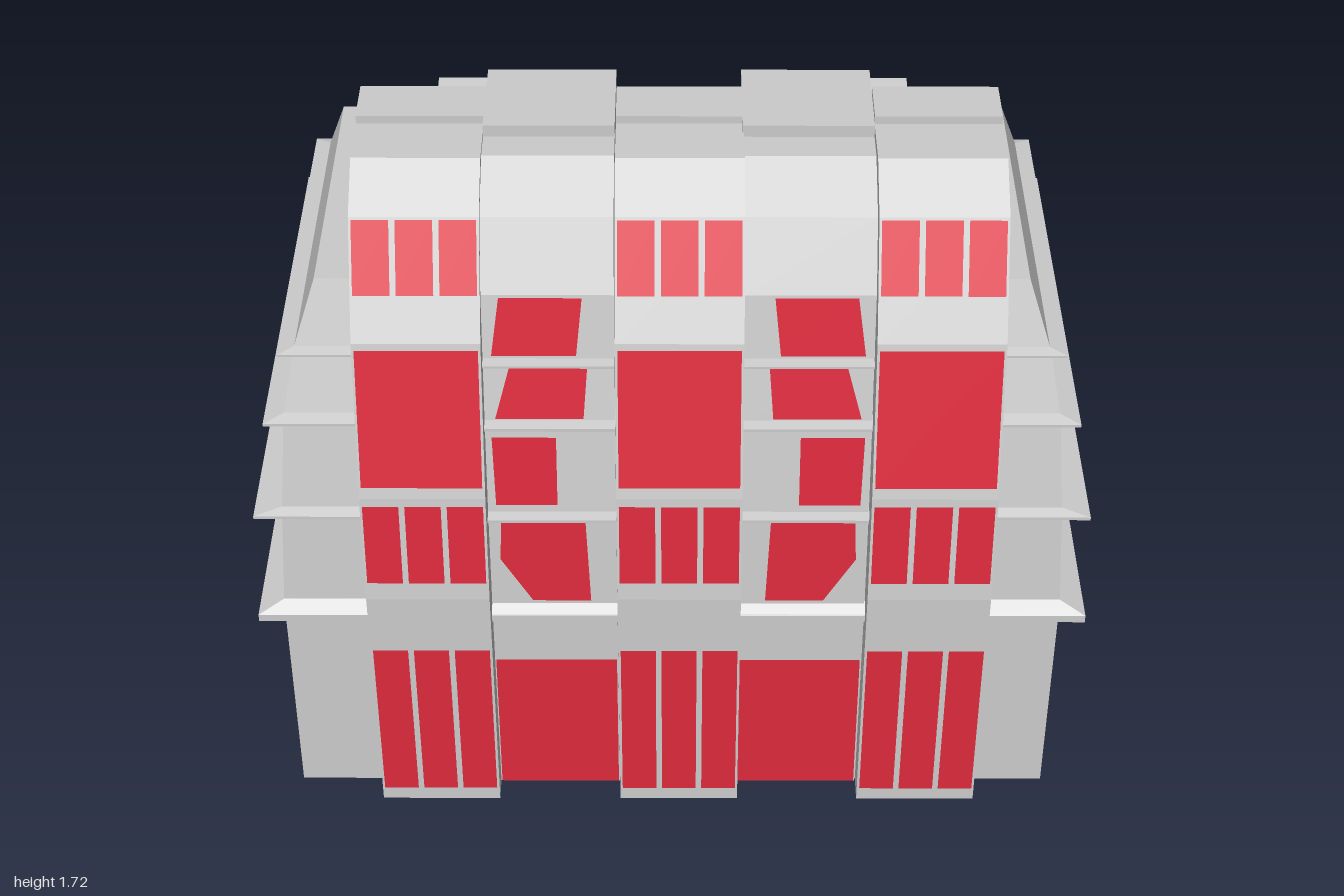
import * as THREE from 'three';

const grey = new THREE.MeshStandardMaterial({ color: 0xcccccc, flatShading: true, side: THREE.DoubleSide });
const red = new THREE.MeshStandardMaterial({ color: 0xdc2a3c, flatShading: true, side: THREE.DoubleSide });

// Shell levels: [y, half width, front z, back z]
const LEVELS = [
  [0, 0.94, 0.53, -0.555], [0.6, 0.94, 0.53, -0.555], [0.875, 0.925, 0.51, -0.545],
  [1.125, 0.905, 0.47, -0.51], [1.285, 0.875, 0.42, -0.452], [1.45, 0.82, 0.365, -0.37],
];
const BODY_FRONT = LEVELS.map(([y, , f]) => [f, y]);
// Side profiles as [z, y]
const PILASTER_FRONT = [[0.6, 0], [0.605, 0.68], [0.578, 0.97], [0.495, 1.36], [0.365, 1.62], [0.245, 1.7]];
const BAY_FRONT = [[0.538, 0], [0.538, 0.6], [0.522, 0.875], [0.49, 1.125], [0.46, 1.285], [0.43, 1.45], [0.35, 1.61], [0.22, 1.69]];

// z of a profile at height y
function zAt(profile, y) {
  for (let i = 1; i < profile.length; i++) {
    const [z0, y0] = profile[i - 1], [z1, y1] = profile[i];
    if (y <= y1) return z0 + (z1 - z0) * (y - y0) / (y1 - y0);
  }
  return profile[profile.length - 1][0];
}

// Surface through rows of [x, y, z] points
function loft(rows) {
  const n = rows[0].length, index = [];
  for (let r = 0; r < rows.length - 1; r++) {
    for (let i = 0; i < n - 1; i++) {
      const a = r * n + i, b = a + 1, c = a + n, d = c + 1;
      index.push(a, b, d, a, d, c);
    }
  }
  const geo = new THREE.BufferGeometry();
  geo.setAttribute('position', new THREE.Float32BufferAttribute(rows.flat(2), 3));
  geo.setIndex(index);
  const flat = geo.toNonIndexed();
  flat.computeVertexNormals();
  return flat;
}

const shapeOf = (pts) => new THREE.Shape(pts.map(([a, b]) => new THREE.Vector2(a, b)));

// Horizontal sheet from [x, z] points, y given by a rule
function sheet(pts, yOf) {
  const geo = new THREE.ShapeGeometry(shapeOf(pts.map(([x, z]) => [x, -z])));
  geo.rotateX(-Math.PI / 2);
  const p = geo.attributes.position;
  for (let i = 0; i < p.count; i++) p.setY(i, yOf(p.getZ(i)));
  geo.computeVertexNormals();
  return geo;
}

// Side profile extruded from x0 to x1
function slab(pts, x0, x1) {
  const geo = new THREE.ExtrudeGeometry(shapeOf(pts), { depth: x1 - x0, bevelEnabled: false });
  geo.rotateY(-Math.PI / 2);
  geo.translate(x1, 0, 0);
  return geo;
}

// Flat pane of [x, y] points laid on a profile
function pane(pts, profile, offset) {
  const geo = new THREE.ShapeGeometry(shapeOf(pts));
  const p = geo.attributes.position;
  for (let i = 0; i < p.count; i++) p.setZ(i, zAt(profile, p.getY(i)) + offset);
  geo.computeVertexNormals();
  return geo;
}

const rect = (x0, x1, y0, y1) => [[x0, y0], [x1, y0], [x1, y1], [x0, y1]];

export function createModel() {
  const model = new THREE.Group();
  const add = (name, geo, mat = grey) => {
    const mesh = new THREE.Mesh(geo, mat);
    mesh.name = name;
    model.add(mesh);
    return mesh;
  };

  // Hollow shell, open at the back, with short return walls beside the opening
  const shellRows = LEVELS.map(([y, x, f, b], i) => {
    const t = Math.max(0, (y - 0.6) / 0.85), xi = 0.72 - 0.06 * t, xf = 0.66 - 0.075 * t;
    const half = [[xf, y, b + 0.25], [xi, y, b], [x, y, b], [x, y, f]];
    return [...half, ...half.map(([px, py, pz]) => [-px, py, pz]).reverse()];
  });
  add('outerWalls', loft(shellRows));
  add('mainRoof', sheet(shellRows[shellRows.length - 1].map((p) => [p[0], p[2]]), () => 1.45));
  add('floor', sheet([[-0.94, -0.555], [0.94, -0.555], [0.94, 0.53], [-0.94, 0.53]], () => 0));

  // Rising rear roof with a notch in the middle
  const rearY = (z) => 1.45 + (-0.1 - z) * 0.125;
  add('rearRoof', sheet([[-0.585, -0.1], [-0.585, -0.44], [-0.205, -0.44], [-0.205, -0.29],
    [0.205, -0.29], [0.205, -0.44], [0.585, -0.44], [0.585, -0.1]], rearY));
  for (const x of [-0.205, 0.205]) {
    add('hangingPanel', loft([
      [[x, 1.05, -0.44], [x, 1.05, -0.1]],
      [[x, rearY(-0.44), -0.44], [x, rearY(-0.1), -0.1]],
    ]));
  }

  // Ledges around the shell: [y, half height, half width, front z, back z]
  const ledges = [
    [0.58, 0.034, 1.0, 0.562, -0.6], [0.875, 0.013, 0.99, 0.535, -0.585],
    [1.125, 0.013, 0.95, 0.497, -0.537], [1.285, 0.01, 0.91, 0.442, -0.475],
  ];
  const widths = LEVELS.map(([y, x]) => [x, y]);
  const backs = LEVELS.map(([y, , , b]) => [b, y]);
  const ring = (y, x, f, b, end) => [[end, y, b], [x, y, b], [x, y, f], [-x, y, f], [-x, y, b], [-end, y, b]];
  for (const [y, h, x, f, b] of ledges) {
    const inner = (v) => ring(v, zAt(widths, v), zAt(BODY_FRONT, v), zAt(backs, v), 0.71);
    add('ledge', loft([inner(y - h), ring(y - h * 0.3, x, f, b, 0.74), ring(y + h * 0.3, x, f, b, 0.74), inner(y + h)]));
  }

  // Pilasters with their rows of windows
  const bodyBack = [...BODY_FRONT].reverse();
  for (const x0 of [-0.73, -0.13, 0.467]) {
    const x1 = x0 + 0.295;
    add('pilaster', slab([...PILASTER_FRONT, [0.1, 1.7], [0.1, 1.72], [-0.03, 1.72], [-0.03, 1.45], ...bodyBack], x0, x1));
    for (const [y0, y1] of [[0.04, 0.515], [0.73, 0.95], [1.46, 1.615]]) {
      for (let i = 0; i < 3; i++) {
        const px = x0 + 0.006 + i * 0.099;
        add('windowPane', pane(rect(px, px + 0.085, y0, y1), PILASTER_FRONT, 0.003), red);
      }
    }
    add('largeWindow', pane(rect(x0 + 0.006, x1 - 0.006, 1.0, 1.345), PILASTER_FRONT, 0.003), red);
  }

  // Recessed bays between the pilasters, mirrored about the middle pilaster
  const bayWindows = [
    [[-0.395, 1.445], [-0.205, 1.445], [-0.22, 1.3], [-0.415, 1.3]],
    [[-0.375, 1.27], [-0.195, 1.27], [-0.205, 1.14], [-0.41, 1.14]],
    [[-0.42, 1.09], [-0.27, 1.09], [-0.27, 0.905], [-0.415, 0.905]],
    [[-0.405, 0.86], [-0.205, 0.86], [-0.195, 0.62], [-0.335, 0.62], [-0.41, 0.745]],
  ];
  for (const flip of [false, true]) {
    const mx = (x) => (flip ? 0.03 - x : x);
    const [x0, x1] = [mx(-0.435), mx(-0.132)].sort((a, b) => a - b);
    add('bay', slab([...BAY_FRONT, [0.14, 1.69], [0.14, 1.72], [-0.105, 1.72], [-0.105, 1.45], ...bodyBack], x0, x1));

    // Panes show on both the outer and the inner side of the wall
    const panes = [...bayWindows.map((w) => ['bayWindow', w]), ['door', rect(-0.432, -0.135, 0.004, 0.425)]];
    for (const [name, pts] of panes) {
      const placed = pts.map(([x, y]) => [mx(x), y]);
      add(name, pane(placed, BAY_FRONT, 0.004), red);
      add(name + 'Inside', pane(placed, BODY_FRONT, -0.006), red);
    }

    // Small ledges crossing the bay
    for (const [y, h] of ledges) {
      const z = zAt(BAY_FRONT, y), out = z + 0.025;
      add('bayLedge', slab([[z - 0.02, y - h], [out, y - h * 0.3], [out, y + h * 0.3], [z - 0.02, y + h]], x0, x1));
    }

    // Rear window with a thin frame on the roof box
    const cx = flip ? 0.355 : -0.25;
    const rear = add('rearWindow', new THREE.BoxGeometry(0.11, 0.19, 0.006), red);
    rear.position.set(cx, 1.565, -0.106);
    const frame = shapeOf(rect(-0.068, 0.068, -0.108, 0.108));
    frame.holes.push(new THREE.Path(rect(-0.055, 0.055, -0.095, 0.095).map(([a, b]) => new THREE.Vector2(a, b))));
    const rim = add('rearWindowFrame', new THREE.ExtrudeGeometry(frame, { depth: 0.014, bevelEnabled: false }));
    rim.position.set(cx, 1.565, -0.118);
  }

  return model;
}
